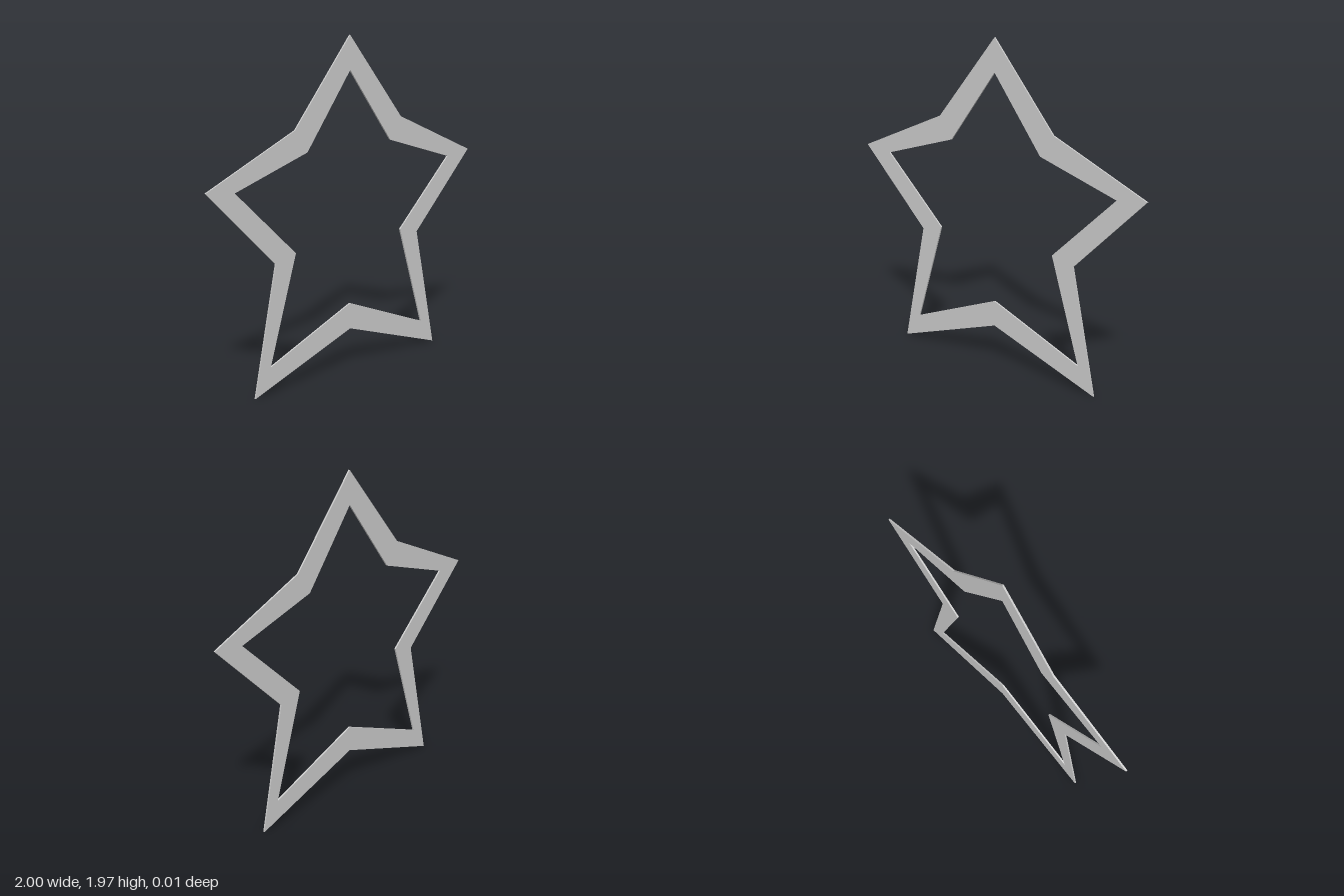
import * as THREE from 'three';

const THICKNESS = 0.01;

// Right half of each outline, counter-clockwise from bottom notch to top point
const OUTER = [[0, 0.248], [0.707, 0], [0.55, 0.747], [1, 1.208], [0.403, 1.473], [0, 1.968]];
const INNER = [[0, 0.404], [0.597, 0.158], [0.407, 0.784], [0.815, 1.184], [0.317, 1.342], [0, 1.773]];

// Close a half outline by mirroring it across x = 0
function mirrored(half) {
  const other = half.slice(1, -1).reverse().map(([x, y]) => [-x, y]);
  return [...half, ...other].map(([x, y]) => new THREE.Vector2(x, y));
}

export function createModel() {
  const group = new THREE.Group();
  group.name = 'starOutline';

  // Thin flat star with a star-shaped opening, whose outline runs the other way round
  const shape = new THREE.Shape(mirrored(OUTER));
  shape.holes.push(new THREE.Path(mirrored(INNER).reverse()));
  const geometry = new THREE.ExtrudeGeometry(shape, { depth: THICKNESS, bevelEnabled: false });
  geometry.translate(0, 0, -THICKNESS / 2);

  const frame = new THREE.Mesh(geometry, new THREE.MeshStandardMaterial({ color: 0xcccccc }));
  frame.name = 'starFrame';
  group.add(frame);
  return group;
}
